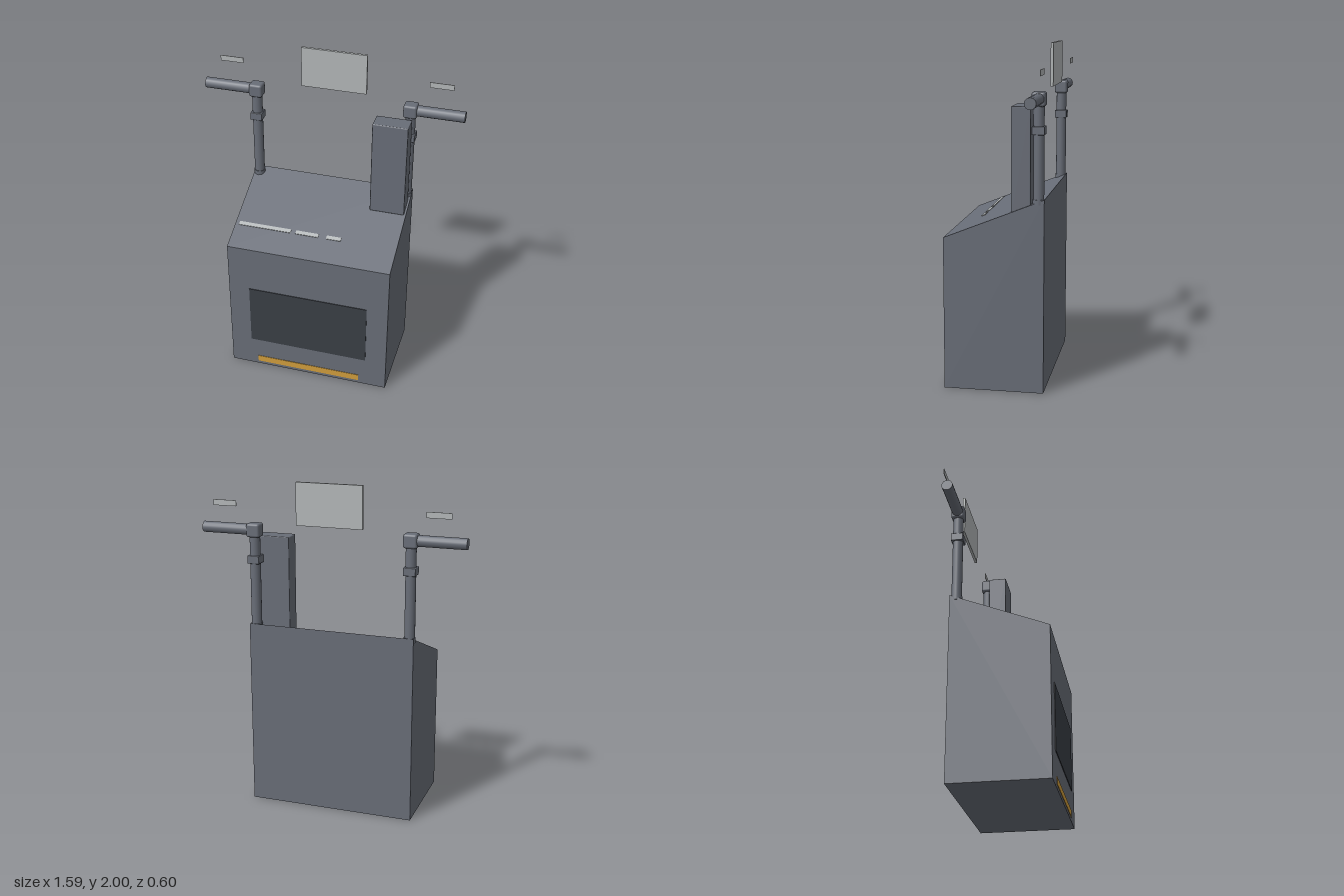
import * as THREE from 'three';
import { RoundedBoxGeometry } from 'three/addons/geometries/RoundedBoxGeometry.js';

const paint = (name, color) => {
  const m = new THREE.MeshStandardMaterial({ color });
  m.name = name;
  return m;
};

export function createModel() {
  const steel = paint('steel grey', 0x686d77);
  const dark = paint('dark panel', 0x3a3e45);
  const amber = paint('amber', 0xcf9c3c);
  const light = paint('light grey', 0xb2b6b7);

  const model = new THREE.Group();
  model.name = 'console';

  const add = (name, geometry, material, x, y, z, parent = model) => {
    const mesh = new THREE.Mesh(geometry, material);
    mesh.name = name;
    mesh.position.set(x, y, z);
    parent.add(mesh);
    return mesh;
  };
  // Box given by its minimum and maximum on each axis
  const addBox = (name, material, [x0, x1], [y0, y1], [z0, z1], parent) =>
    add(name, new THREE.BoxGeometry(x1 - x0, y1 - y0, z1 - z0), material,
      (x0 + x1) / 2, (y0 + y1) / 2, (z0 + z1) / 2, parent);

  // Cabinet: side profile with a sloping top, extruded across the width
  const front = 0.292, back = -0.293, frontTop = 0.902, backTop = 1.138, halfWidth = 0.507;
  const profile = new THREE.Shape([
    new THREE.Vector2(-front, 0), new THREE.Vector2(-back, 0),
    new THREE.Vector2(-back, backTop), new THREE.Vector2(-front, frontTop),
  ]);
  const cabinet = new THREE.ExtrudeGeometry(profile, { depth: halfWidth * 2, bevelEnabled: false });
  cabinet.translate(0, 0, -halfWidth).rotateY(Math.PI / 2);
  add('cabinet', cabinet, steel, 0, 0, 0);

  // Front details
  addBox('frontPanel', dark, [-0.375, 0.375], [0.2, 0.605], [0.289, 0.296]);
  addBox('amberStrip', amber, [-0.333, 0.333], [0.022, 0.065], [0.289, 0.295]);

  // Marks lying on the sloping top
  const slope = Math.atan2(backTop - frontTop, front - back);
  const markZ = 0.126;
  const markY = frontTop + (front - markZ) * Math.tan(slope) + 0.001;
  for (const [x0, x1] of [[-0.482, -0.151], [-0.12, 0.023], [0.073, 0.164]]) {
    const mark = add('topMark', new THREE.BoxGeometry(x1 - x0, 0.006, 0.025), light,
      (x0 + x1) / 2, markY, markZ);
    mark.rotation.x = slope;
  }

  // Upright housing
  add('uprightHousing', new RoundedBoxGeometry(0.214, 0.6, 0.112, 1, 0.006), steel, 0.388, 1.36, -0.157);

  // Posts with outward arms, one on each side
  const postZ = -0.257;
  for (const side of [-1, 1]) {
    const post = new THREE.Group();
    post.name = side > 0 ? 'leftPost' : 'rightPost';
    model.add(post);
    const x = side * 0.475;
    add('postTube', new THREE.CylinderGeometry(0.031, 0.031, 0.6, 16), steel, x, 1.41, postZ, post);
    add('postFoot', new THREE.CylinderGeometry(0.035, 0.035, 0.03, 16), steel, x, 1.122, postZ, post);
    add('collar', new RoundedBoxGeometry(0.074, 0.048, 0.074, 1, 0.004), steel, x, 1.527, postZ, post);
    add('elbow', new RoundedBoxGeometry(0.082, 0.082, 0.078, 2, 0.014), steel, x, 1.701, postZ, post);
    const arm = add('arm', new THREE.CylinderGeometry(0.033, 0.033, 0.31, 16), steel,
      side * 0.642, 1.702, postZ, post);
    arm.rotation.z = Math.PI / 2;

    // Small plate above each arm
    const px = side * 0.642;
    addBox('sidePlate', light, [px - 0.072, px + 0.072], [1.841, 1.875], [-0.3, -0.296], post);
  }

  // Raised rear plate
  addBox('rearPlate', light, [-0.2, 0.2], [1.75, 2], [-0.296, -0.28]);

  return model;
}
